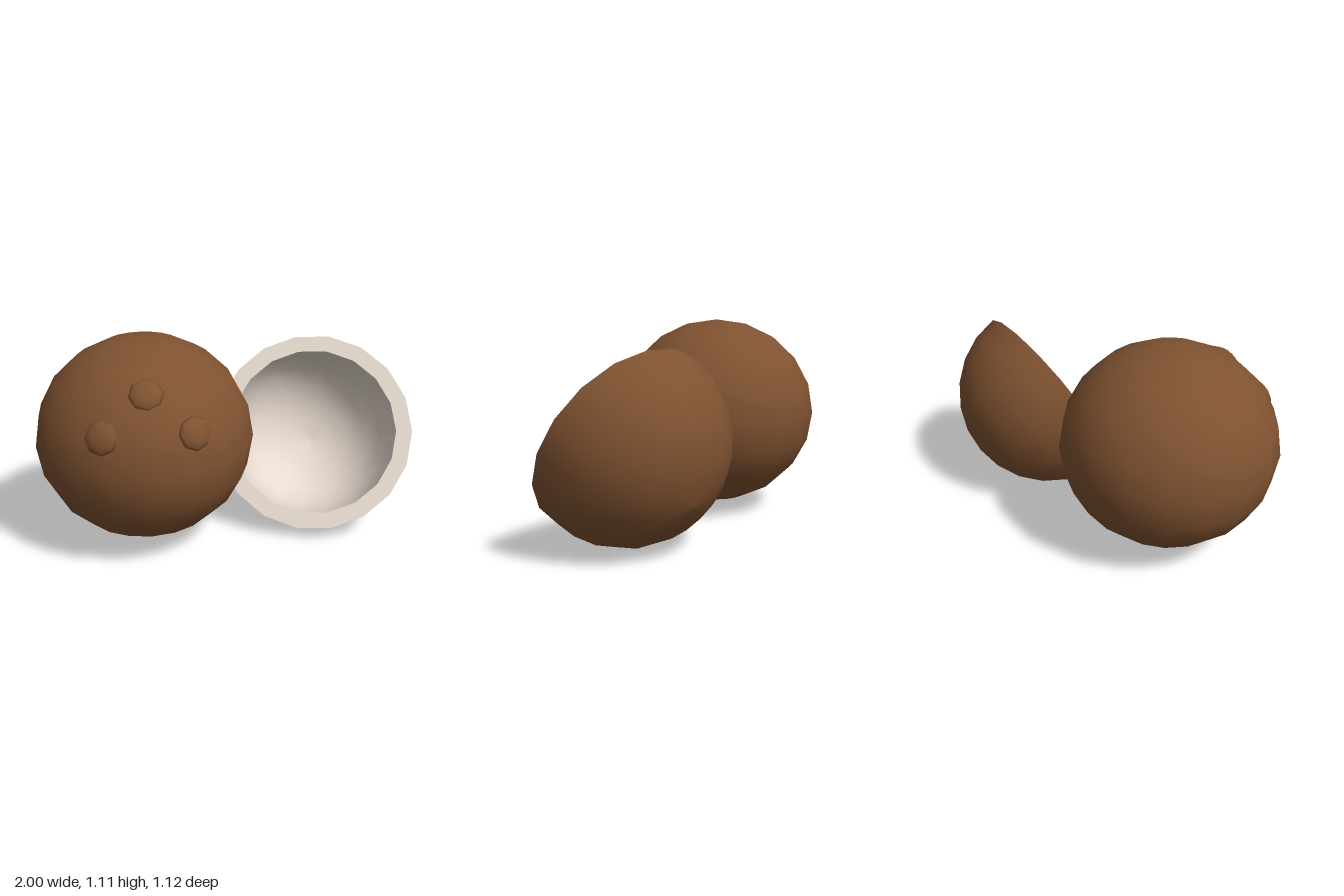
import * as THREE from 'three';

export function createModel() {
  const model = new THREE.Group();
  const shell = new THREE.MeshStandardMaterial({ color: 0x7f5231 });
  shell.name = 'brown shell';
  const flesh = new THREE.MeshStandardMaterial({ color: 0xe9dcd1 });
  flesh.name = 'cream flesh';

  const add = (parent, name, geometry, material) => {
    const mesh = new THREE.Mesh(geometry, material);
    mesh.name = name;
    parent.add(mesh);
    return mesh;
  };

  // Whole nut, slightly squashed
  const centre = new THREE.Vector3(-0.43, 0.575, 0);
  const radii = new THREE.Vector3(0.57, 0.535, 0.57);
  const nut = add(model, 'wholeNut', new THREE.SphereGeometry(1, 18, 10), shell);
  nut.position.copy(centre);
  nut.scale.copy(radii);

  // Three flattened eye bumps, each lying against the shell
  const bump = new THREE.SphereGeometry(0.085, 8, 6).rotateX(Math.PI / 2).scale(1, 1, 0.42);
  [[-0.51, 0.93, 0.4], [-0.735, 0.755, 0.43], [-0.31, 0.755, 0.51]].forEach((p, i) => {
    const eye = add(model, 'eye' + (i + 1), bump, shell);
    eye.position.set(...p);
    const normal = eye.position.clone().sub(centre).divide(radii).divide(radii).normalize();
    eye.quaternion.setFromUnitVectors(new THREE.Vector3(0, 0, 1), normal);
  });

  // Halved nut: outer shell, flat rim and hollow, opening along local +y
  const half = new THREE.Group();
  half.name = 'halfNut';
  half.position.set(0.47, 0.536, 0.165);
  half.rotation.set(1.04, 0, 0.36);
  model.add(half);

  const outer = 0.536, inner = 0.45, rows = 6;
  const arc = (r) => Array.from({ length: rows + 1 }, (_, i) => {
    const a = (i / rows) * Math.PI / 2;
    return new THREE.Vector2(r * Math.sin(a), -r * Math.cos(a));
  });
  add(half, 'halfShell', new THREE.LatheGeometry(arc(outer), 18), shell);
  add(half, 'hollow', new THREE.LatheGeometry(arc(inner).reverse(), 18), flesh);
  const rim = [new THREE.Vector2(outer, 0), new THREE.Vector2(inner, 0)];
  add(half, 'rim', new THREE.LatheGeometry(rim, 18), flesh);

  return model;
}
